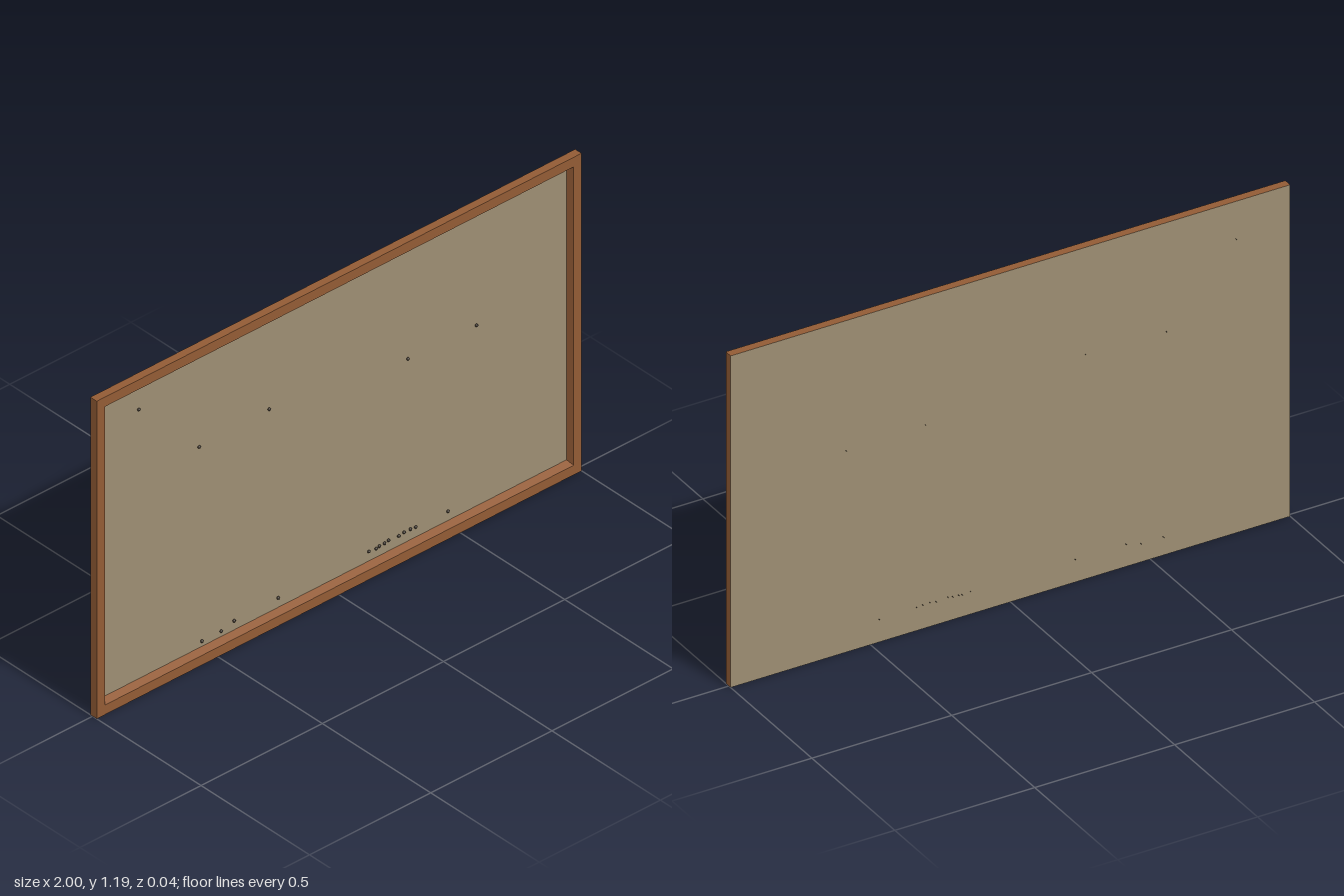
import * as THREE from 'three';

const W = 2, H = 1.19;
const FRONT = 0.019, BACK = -0.0105, BOARD = -0.007;

// Rectangular ring of four corners, counter-clockwise from the front
function ring(insetX, insetY, z) {
  const x = W / 2 - insetX, a = insetY, b = H - insetY;
  return [[-x, a, z], [x, a, z], [x, b, z], [-x, b, z]];
}

// Skin between successive rings, with flat faces
function loftRings(rings) {
  const pos = [];
  for (let r = 0; r < rings.length - 1; r++) {
    for (let i = 0; i < 4; i++) {
      const j = (i + 1) % 4;
      const a = rings[r][i], b = rings[r][j], c = rings[r + 1][j], d = rings[r + 1][i];
      pos.push(...a, ...b, ...c, ...a, ...c, ...d);
    }
  }
  const g = new THREE.BufferGeometry();
  g.setAttribute('position', new THREE.Float32BufferAttribute(pos, 3));
  g.computeVertexNormals();
  return g;
}

export function createModel() {
  const model = new THREE.Group();
  model.name = 'pinBoard';

  const mat = (name, color) => {
    const m = new THREE.MeshStandardMaterial({ color });
    m.name = name;
    return m;
  };
  const wood = mat('brown wood', 0x925b35);
  const cork = mat('tan cork', 0x9c8d72);
  const metal = mat('dark metal', 0x3a322a);

  const add = (parent, name, geometry, material) => {
    const mesh = new THREE.Mesh(geometry, material);
    mesh.name = name;
    parent.add(mesh);
    return mesh;
  };

  // Mitred frame: outer wall, front face, slightly splayed inner wall
  add(model, 'frame', loftRings([
    ring(0, 0, BACK),
    ring(0, 0, FRONT),
    ring(0.033, 0.036, FRONT),
    ring(0.039, 0.046, BOARD),
  ]), wood);

  // Cork panel seen inside the frame, and the backing that reaches the edges
  const panel = add(model, 'corkPanel',
    new THREE.BoxGeometry(W - 0.07, H - 0.08, BOARD - BACK), cork);
  panel.position.set(0, H / 2, (BOARD + BACK) / 2);
  const backing = add(model, 'backing', new THREE.PlaneGeometry(W, H), cork);
  backing.rotation.y = Math.PI;
  backing.position.set(0, H / 2, BACK);

  // Pins: small domed heads with points that pass through the board
  const headGeo = new THREE.SphereGeometry(0.0055, 10, 8);
  const pointGeo = new THREE.ConeGeometry(0.002, 0.014, 6);
  pointGeo.rotateX(-Math.PI / 2);
  const pins = [
    [-0.805, 1.056], [-0.556, 0.8], [-0.267, 0.807], [0.305, 0.73], [0.588, 0.724],
    [-0.545, 0.067], [-0.465, 0.067], [-0.412, 0.082], [-0.23, 0.083], [0.144, 0.083],
    [0.174, 0.08], [0.187, 0.083], [0.208, 0.084], [0.225, 0.087], [0.267, 0.084],
    [0.289, 0.087], [0.315, 0.087], [0.337, 0.085], [0.47, 0.082],
  ];
  for (const [x, y] of pins) {
    const pin = new THREE.Group();
    pin.name = 'pin';
    pin.position.set(x, y, BOARD);
    add(pin, 'pinHead', headGeo, metal).position.z = 0.002;
    add(pin, 'pinPoint', pointGeo, metal).position.z = -0.005;
    model.add(pin);
  }
  return model;
}
